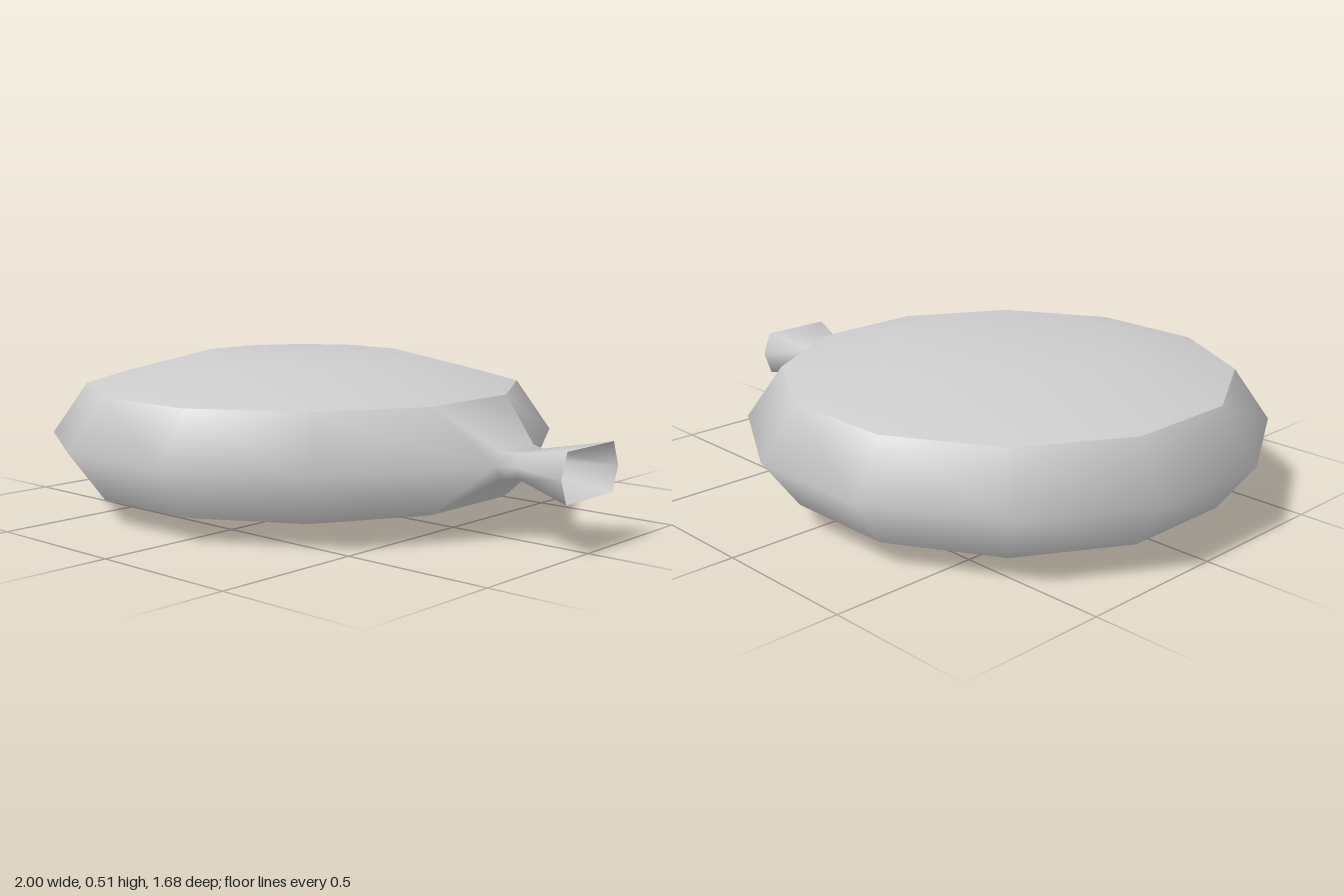
import * as THREE from 'three';

const SIDES = 12, CX = -0.163, MID = 0.243;

export function createModel() {
  const rubber = new THREE.MeshStandardMaterial({ color: 0xcccccc, side: THREE.DoubleSide });
  rubber.name = 'grey rubber';
  const group = new THREE.Group();
  group.name = 'airCushion';

  const add = (name, geometry) => {
    const mesh = new THREE.Mesh(geometry, rubber);
    mesh.name = name;
    group.add(mesh);
    return mesh;
  };

  // Shallow domed panels, each a smooth 12-sided lathe
  const panel = (name, profile) => {
    const points = profile.map(([r, y]) => new THREE.Vector2(r, y));
    add(name, new THREE.LatheGeometry(points, SIDES, Math.PI / 12)).position.x = CX;
  };
  panel('topPanel', [[0.748, 0.415], [0.383, 0.51], [0, 0.51]]);
  panel('bottomPanel', [[0, 0], [0.33, 0], [0.748, 0.08]]);

  // Side wall, neck and flared mouth as one smooth skin
  const positions = [], index = [];
  const vertex = (x, y, z) => positions.push(x, y, z) / 3 - 1;
  const tri = (a, b, c) => index.push(a, b, c);
  const quad = (a, b, c, d) => index.push(a, b, d, b, c, d);

  const bodyRing = (r, y) => Array.from({ length: SIDES }, (_, k) => {
    const a = (k + 0.5) * Math.PI * 2 / SIDES;
    return vertex(CX + r * Math.cos(a), y, r * Math.sin(a));
  });
  // Hexagon from its +z corner, over the top to -z, then back underneath
  const neckRing = (x, w, h) =>
    [[1, 0], [0.81, 1], [-0.81, 1], [-1, 0], [-0.81, -1], [0.81, -1]]
      .map(([z, y]) => vertex(x, MID + y * h, z * w));

  const top = bodyRing(0.748, 0.415);
  const bottom = bodyRing(0.748, 0.08);
  const neck = [[0.74, 0.108, 0.043], [0.79, 0.08, 0.038], [1, 0.155, 0.078]]
    .map((ring) => neckRing(...ring));
  const root = neck[0];

  // The two equator corners beside the neck are drawn out to its root
  const equator = bodyRing(0.868, MID);
  equator[0] = root[0];
  equator[SIDES - 1] = root[3];

  for (let k = 0; k < SIDES - 1; k++) {
    quad(top[k], top[k + 1], equator[k + 1], equator[k]);
    quad(equator[k], equator[k + 1], bottom[k + 1], bottom[k]);
  }

  // Shoulder between the side wall and the neck
  const last = SIDES - 1;
  quad(top[last], top[0], root[1], root[2]);
  tri(top[0], root[0], root[1]);
  tri(top[last], root[2], root[3]);
  quad(root[4], root[5], bottom[0], bottom[last]);
  tri(bottom[0], root[5], root[0]);
  tri(bottom[last], root[3], root[4]);

  // Neck and open mouth
  for (let n = 0; n < neck.length - 1; n++) {
    for (let i = 0; i < 6; i++) {
      const j = (i + 1) % 6;
      quad(neck[n + 1][i], neck[n + 1][j], neck[n][j], neck[n][i]);
    }
  }

  const skin = new THREE.BufferGeometry();
  skin.setAttribute('position', new THREE.Float32BufferAttribute(positions, 3));
  skin.setIndex(index);
  skin.computeVertexNormals();
  add('sideWallAndNeck', skin);

  return group;
}
